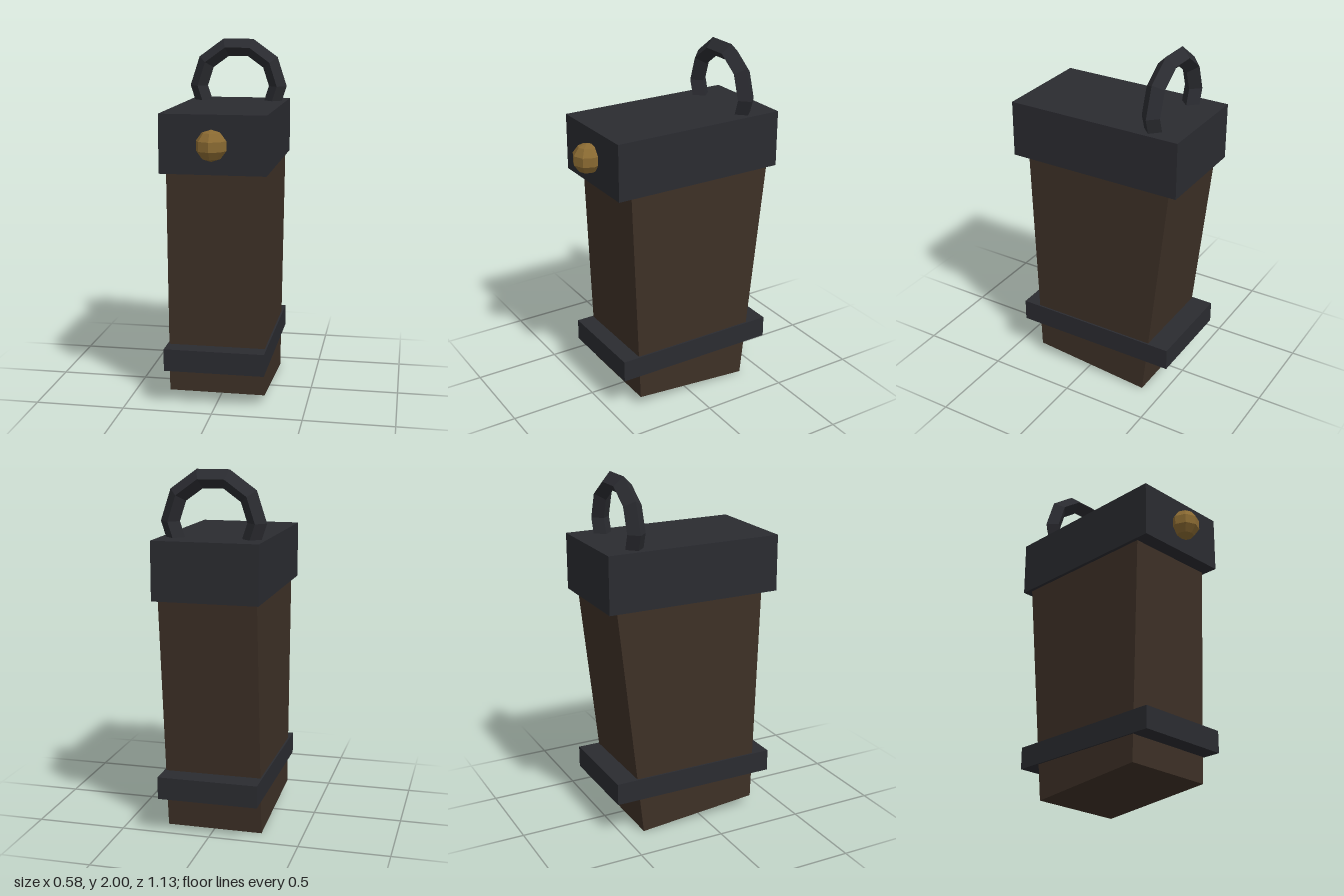
import * as THREE from 'three';

const material = (color) => new THREE.MeshStandardMaterial({ color, flatShading: true });

export function createModel() {
  const model = new THREE.Group();
  model.name = 'scabbardCase';
  const iron = material(0x2a2b30);
  const leather = material(0x3d3026);
  const brass = material(0x8a6a32);

  const add = (name, geometry, mat, x, y, z) => {
    const mesh = new THREE.Mesh(geometry, mat);
    mesh.name = name;
    mesh.position.set(x, y, z);
    model.add(mesh);
    return mesh;
  };

  // Tapered body: side profile (z, y) extruded across the width
  const profile = new THREE.Shape(
    [[0.325, 0.06], [0.37, 1.36], [-0.518, 1.36], [-0.375, 0]].map(([z, y]) => new THREE.Vector2(-z, y))
  );
  const bodyGeometry = new THREE.ExtrudeGeometry(profile, { depth: 0.54, bevelEnabled: false });
  bodyGeometry.translate(0, 0, -0.27).rotateY(Math.PI / 2);
  add('body', bodyGeometry, leather, 0, 0, 0);

  // Metal cap and lower band
  add('cap', new THREE.BoxGeometry(0.58, 0.32, 1.02), iron, 0, 1.48, -0.055);
  add('lowerBand', new THREE.BoxGeometry(0.56, 0.125, 0.97), iron, 0, 0.272, -0.05);

  // Hanging ring, its lower part sunk into the cap
  add('hangingRing', new THREE.TorusGeometry(0.237, 0.053, 4, 10), iron, 0, 1.725, -0.38);

  // Brass stud on the front of the cap
  add('stud', new THREE.SphereGeometry(0.085, 8, 5), brass, 0, 1.48, 0.482);

  return model;
}
